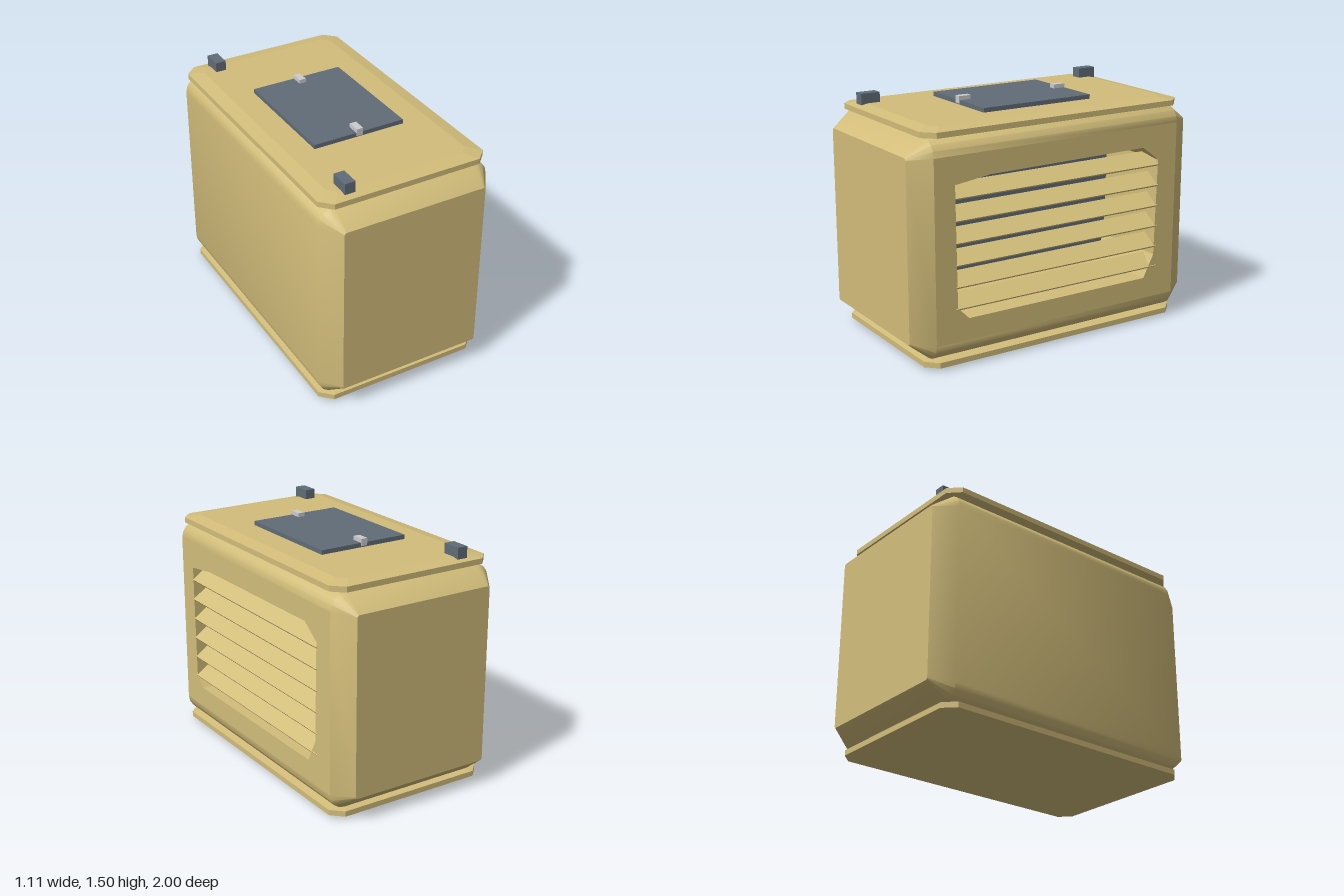
import * as THREE from 'three';
import { toCreasedNormals } from 'three/addons/utils/BufferGeometryUtils.js';

// Rounded rectangle (chamfered when seg = 1) at height z, counterclockwise
function ring(z, hw, y0, y1, r, seg) {
  const pts = [];
  const corners = [[hw - r, y0 + r], [hw - r, y1 - r], [r - hw, y1 - r], [r - hw, y0 + r]];
  corners.forEach(([cx, cy], c) => {
    for (let i = 0; i <= seg; i++) {
      const a = (c - 1 + i / seg) * Math.PI / 2;
      pts.push([cx + r * Math.cos(a), cy + r * Math.sin(a), z]);
    }
  });
  return pts;
}

// Skin over the rings, closed at both ends; isOpen(k, i) leaves a quad out
function loft(rings, crease, isOpen = () => false) {
  const n = rings[0].length, last = rings.length - 1, index = [];
  for (let k = 0; k < last; k++) {
    for (let i = 0; i < n; i++) {
      if (isOpen(k, i)) continue;
      const j = (i + 1) % n;
      const a = k * n + i, b = k * n + j, c = b + n, d = a + n;
      index.push(a, b, c, a, c, d);
    }
  }
  for (let i = 1; i < n - 1; i++) {
    index.push(0, i + 1, i, last * n, last * n + i, last * n + i + 1);
  }
  const g = new THREE.BufferGeometry();
  g.setAttribute('position', new THREE.Float32BufferAttribute(rings.flat(2), 3));
  g.setIndex(index);
  return toCreasedNormals(g, crease);
}

export function createModel() {
  const model = new THREE.Group();
  model.name = 'ventilatedCabinet';
  const sand = new THREE.MeshStandardMaterial({ name: 'sand', color: 0xd2bd7a });
  const slate = new THREE.MeshStandardMaterial({ name: 'slate', color: 0x616c77 });
  const silver = new THREE.MeshStandardMaterial({ name: 'silver', color: 0xcccccc });

  const add = (name, geometry, material, x = 0, y = 0, z = 0) => {
    const mesh = new THREE.Mesh(geometry, material);
    mesh.name = name;
    mesh.position.set(x, y, z);
    model.add(mesh);
    return mesh;
  };
  const box = (name, material, x0, x1, y0, y1, z0, z1) =>
    add(name, new THREE.BoxGeometry(x1 - x0, y1 - y0, z1 - z0), material,
      (x0 + x1) / 2, (y0 + y1) / 2, (z0 + z1) / 2);

  // Body shell with bevelled ends, its left wall left out for the louvre housing
  const SEG = 4;
  const body = loft([
    ring(-1, 0.465, 0.165, 1.28, 0.015, SEG),
    ring(-0.87, 0.555, 0.06, 1.38, 0.1, SEG),
    ring(0.87, 0.555, 0.06, 1.38, 0.1, SEG),
    ring(1, 0.465, 0.165, 1.28, 0.015, SEG),
  ], 0.7, (k, i) => k === 1 && i === SEG);
  add('body', body, sand);

  // Left wall and the deep recess behind its opening
  const wall = new THREE.Shape([[-0.87, 0.16], [0.87, 0.16], [0.87, 1.28], [-0.87, 1.28]]
    .map(p => new THREE.Vector2(...p)));
  wall.holes.push(new THREE.Path([
    [-0.65, 0.295], [-0.725, 0.37], [-0.735, 1.11], [-0.5, 1.14],
    [0.61, 1.15], [0.73, 1.06], [0.715, 0.44], [0.64, 0.295],
  ].map(p => new THREE.Vector2(...p))));
  const housing = new THREE.ExtrudeGeometry(wall, { depth: 0.535, bevelEnabled: false });
  housing.rotateY(Math.PI / 2);
  add('louvreHousing', housing, sand, 0.02);
  box('recessBack', slate, 0, 0.03, 0.25, 1.2, -0.78, 0.78);

  // Sloping slats, outer edge low
  const slatGeometry = new THREE.BoxGeometry(0.122, 0.012, 1.47);
  for (let i = 0; i < 6; i++) {
    const slat = add('slat', slatGeometry, sand, 0.506, 0.395 + i * 0.133, 0);
    slat.rotation.z = -Math.atan2(0.07, 0.1);
  }

  // Top and bottom plates with bevelled rims and cut corners
  const plate = loft([
    ring(0, 0.46, -0.83, 0.83, 0.05, 1),
    ring(0.018, 0.545, -0.912, 0.912, 0.07, 1),
    ring(0.052, 0.545, -0.912, 0.912, 0.07, 1),
    ring(0.068, 0.46, -0.83, 0.83, 0.05, 1),
  ], 0.1);
  plate.rotateX(-Math.PI / 2);
  add('topPlate', plate, sand, 0, 1.37, 0);
  add('bottomPlate', plate, sand, 0, 0, 0);

  // Hatch with its latches, and the corner blocks
  box('hatch', slate, -0.305, 0.293, 1.43, 1.465, -0.387, 0.38);
  for (const [z0, z1] of [[-0.39, -0.31], [0.303, 0.385]]) {
    box('latch', silver, -0.027, 0.016, 1.445, 1.49, z0, z1);
  }
  for (const [z0, z1] of [[-0.875, -0.75], [0.745, 0.87]]) {
    box('cornerBlock', slate, -0.39, -0.322, 1.42, 1.5, z0, z1);
  }
  return model;
}
